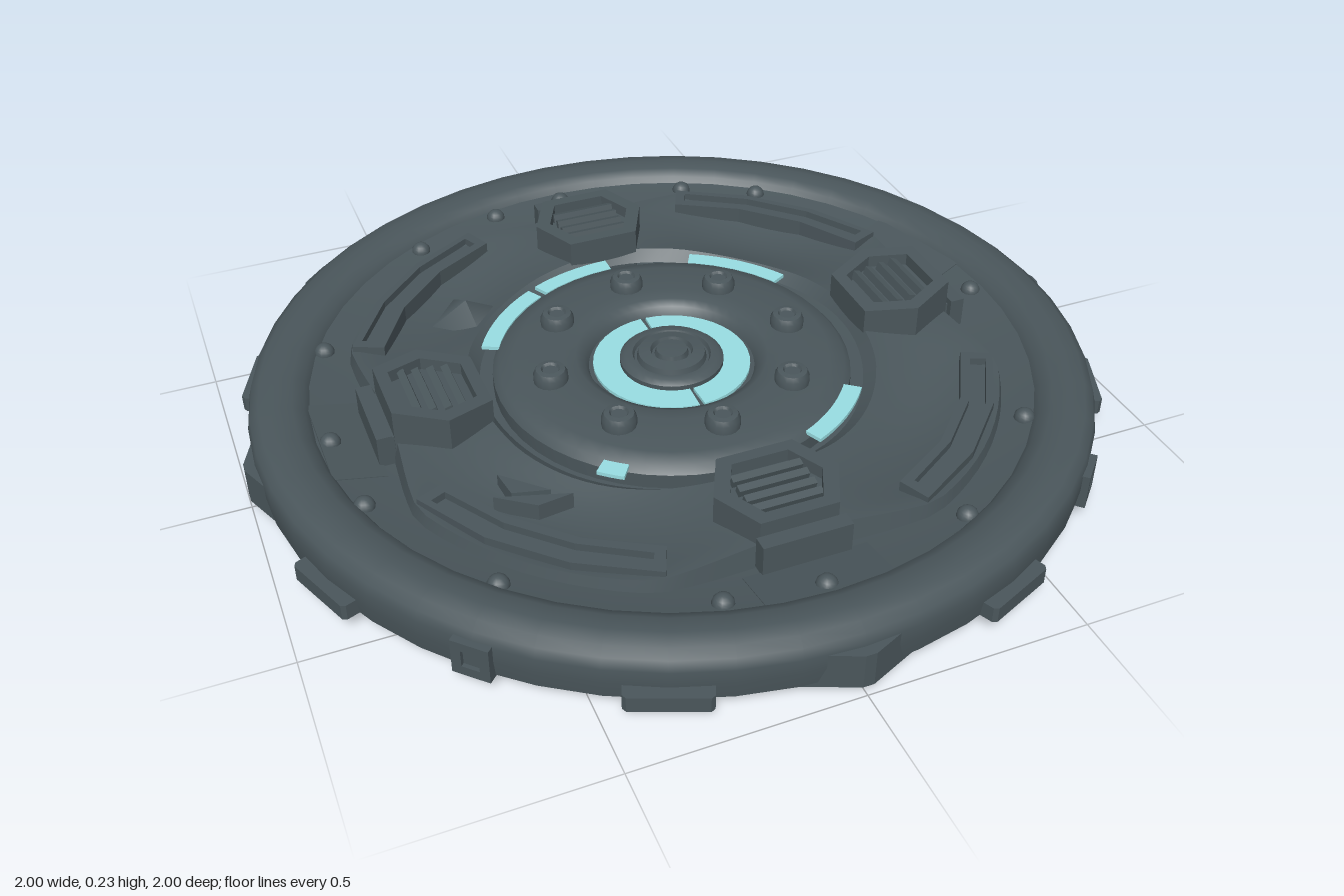
import * as THREE from 'three';
import { toCreasedNormals } from 'three/addons/utils/BufferGeometryUtils.js';

const rad = THREE.MathUtils.degToRad;

export function createModel() {
  const model = new THREE.Group();
  model.name = 'roundHatch';
  const metal = new THREE.MeshStandardMaterial({ color: 0x4a565b });
  metal.name = 'dark steel';
  const glow = new THREE.MeshStandardMaterial({ color: 0x98dde2 });
  glow.name = 'pale cyan light';

  const add = (name, geo, x = 0, y = 0, z = 0, parent = model, mat = metal) => {
    const m = new THREE.Mesh(geo, mat);
    m.name = name;
    m.position.set(x, y, z);
    parent.add(m);
    return m;
  };
  // Group turned about y so that its local +z points outward at angle a
  const spoke = (name, a) => {
    const g = new THREE.Group();
    g.name = name;
    g.rotation.y = a;
    model.add(g);
    return g;
  };
  const lathe = (pts, n = 48) => toCreasedNormals(
    new THREE.LatheGeometry(pts.map(p => new THREE.Vector2(...p)), n), 0.7);
  // Plan outline in (x, z), extruded downward from y = top
  const slab = (pts, top, depth, hole) => {
    const v = list => list.map(p => new THREE.Vector2(...p));
    const s = new THREE.Shape(v(pts));
    if (hole) s.holes.push(new THREE.Path(v(hole)));
    return new THREE.ExtrudeGeometry(s, { depth, bevelEnabled: false })
      .rotateX(Math.PI / 2).translate(0, top, 0);
  };
  // Ring sector outline between two radii and two angles in degrees
  const sector = (r0, r1, a0, a1, n) => {
    const pts = [];
    for (let i = 0; i <= n; i++) {
      const a = rad(a0 + (a1 - a0) * i / n);
      pts.push([r1 * Math.cos(a), r1 * Math.sin(a)]);
    }
    for (let i = n; i >= 0; i--) {
      const a = rad(a0 + (a1 - a0) * i / n);
      pts.push([r0 * Math.cos(a), r0 * Math.sin(a)]);
    }
    return pts;
  };

  // Base dish with rounded rim and sloping recess
  add('baseAndRim', lathe([[0, 0], [0.855, 0], [0.86, 0.018], [0.945, 0.022], [0.972, 0.04],
    [0.977, 0.08], [0.977, 0.115], [0.97, 0.14], [0.95, 0.155], [0.915, 0.161], [0.875, 0.157],
    [0.85, 0.145], [0.84, 0.13], [0.7, 0.1], [0.44, 0.09], [0, 0.09]]));

  // Lobed inner plate: raised under the vents, hollowed on the diagonals
  const plate = new THREE.PlaneGeometry(1, 1, 96, 12);
  const pos = plate.attributes.position;
  for (let i = 0; i < pos.count; i++) {
    const a = (pos.getX(i) + 0.5) * Math.PI * 2;
    const t = pos.getY(i) + 0.5;
    const diag = Math.pow(Math.sin(2 * a), 2);
    const k = Math.min(t / 0.9, 1);
    const r = 0.45 + (0.225 + 0.085 * Math.min(1, diag * 1.8)) * k + (t > 0.95 ? 0.012 : 0);
    const hollow = 0.035 * diag * Math.sin(Math.PI * Math.min(1, k * 1.05));
    const y = t > 0.95 ? 0.095 : 0.15 - 0.012 * diag - hollow - (t < 0.04 ? 0.03 : 0);
    pos.setXYZ(i, r * Math.cos(a), y, r * Math.sin(a));
  }
  plate.computeVertexNormals();
  add('innerPlate', toCreasedNormals(plate, 0.7));

  // Light strips in the gap around the centre disc
  for (const [a0, a1] of [[207, 240], [243, 270], [298, 331], [38, 66], [125, 133]]) {
    add('gapLight', slab(sector(0.41, 0.452, a0, a1, 8), 0.14, 0.009), 0, 0, 0, model, glow);
  }

  // Centre disc with its well and stepped hub
  add('centreDisc', lathe([[0.42, 0.08], [0.42, 0.125], [0.405, 0.142], [0.37, 0.15], [0.26, 0.155],
    [0.225, 0.152], [0.205, 0.142], [0.195, 0.12], [0.1, 0.12]]));
  for (const a of [-88, 92]) {
    add('hubLight', slab(sector(0.11, 0.185, a, a + 176, 20), 0.129, 0.008), 0, 0, 0, model, glow);
  }
  add('hub', lathe([[0.122, 0.11], [0.122, 0.14], [0.11, 0.15], [0.092, 0.15], [0.088, 0.14],
    [0.082, 0.14], [0.078, 0.155], [0.05, 0.16], [0.046, 0.148], [0.04, 0.148], [0.036, 0.162], [0, 0.165]], 32));

  // Ring of large bolts on the disc
  const bolt = lathe([[0.04, 0], [0.04, 0.022], [0.034, 0.034], [0.022, 0.036], [0.018, 0.03], [0, 0.03]], 16);
  for (let i = 0; i < 8; i++) {
    const a = i * Math.PI / 4;
    add('discBolt', bolt, 0.298 * Math.cos(a), 0.15, 0.298 * Math.sin(a));
  }

  // Four hexagonal vents with frame, slats and outer block
  const hex = k => [[0.142, 0], [0.088, 0.112], [-0.088, 0.112], [-0.142, 0], [-0.088, -0.112], [0.088, -0.112]]
    .map(([x, z]) => [x * k, z * k]);
  for (let i = 0; i < 4; i++) {
    const g = spoke('vent', i * Math.PI / 2);
    const tilt = i % 2 ? 0.13 : 0.02;
    const height = i % 2 ? 0.218 : 0.206;
    const slant = geo => {
      const p = geo.attributes.position;
      for (let j = 0; j < p.count; j++) if (p.getY(j) > 0.15) p.setY(j, p.getY(j) + p.getZ(j) * tilt);
      geo.computeVertexNormals();
      return geo;
    };
    add('ventFrame', slant(slab(hex(1), height, 0.11, hex(0.74))), 0, 0, 0.572, g);
    add('ventFloor', slant(slab(hex(0.76), height - 0.03, 0.08)), 0, 0, 0.572, g);
    for (const z of [-0.05, -0.017, 0.017, 0.05]) {
      const slat = add('ventSlat', new THREE.BoxGeometry(0.16, 0.02, 0.017), 0, height - 0.018 + z * tilt, 0.572 + z, g);
      slat.rotation.x = 0.3;
    }
    add('ventBlock', new THREE.BoxGeometry(0.2, 0.075, 0.035), 0, 0.1425, 0.708, g);
    add('ventCollar', new THREE.BoxGeometry(0.17, 0.07, 0.05), 0, 0.13, 0.68, g);
  }

  // Diagonal slotted rails
  for (let i = 0; i < 4; i++) {
    const a = 45 + i * 90;
    add('railFrame', slab(sector(0.675, 0.75, a - 22, a + 22, 3), 0.157, 0.06,
      sector(0.695, 0.732, a - 20, a + 20, 3).reverse()));
    add('railFloor', slab(sector(0.69, 0.735, a - 21, a + 21, 3), 0.139, 0.04));
  }

  // Bent shards and raised wedge on the damaged side
  const wedge = add('raisedWedge', new THREE.ConeGeometry(0.09, 0.05, 4), -0.39, 0.135, -0.38);
  wedge.rotation.y = 0.1;
  add('shard', slab([[-0.54, 0.34], [-0.38, 0.39], [-0.46, 0.4]], 0.15, 0.04));
  add('shard', slab([[-0.51, 0.27], [-0.42, 0.36], [-0.5, 0.34]], 0.148, 0.04));

  // Thin access panels lying on the recess slope
  for (const a of [0, -90, 107]) {
    const p = add('recessPanel', new THREE.BoxGeometry(0.28, 0.006, 0.12), 0, 0.118, 0.775, spoke('panelMount', rad(a)));
    p.rotation.x = -0.21;
  }

  // Small studs in the recess
  const stud = new THREE.SphereGeometry(0.024, 12, 6, 0, Math.PI * 2, 0, Math.PI / 2);
  for (const [x, z] of [[0, -0.81], [-0.19, -0.79], [-0.42, -0.7], [0.33, -0.74], [0.51, -0.64],
    [-0.75, -0.34], [-0.81, 0], [-0.79, 0.24], [-0.6, 0.57], [-0.21, 0.78], [0, 0.81],
    [0.36, 0.74], [0.65, 0.5], [0.81, 0]]) {
    add('recessStud', stud, x, 0.1 + (Math.hypot(x, z) - 0.7) * 0.214, z);
  }

  // Rim fittings: long clamps, square latches and pointed ribs
  for (let i = 0; i < 8; i++) {
    const g = spoke('rimClamp', rad(22.5 + i * 45));
    add('clampBar', slab([[-0.09, 0.93], [0.09, 0.93], [0.088, 0.995], [0.08, 1.003], [-0.08, 1.003], [-0.088, 0.995]],
      0.077, 0.037), 0, 0, 0, g);
  }
  const square = (h, y) => [[-h, y - h], [h, y - h], [h, y + h], [-h, y + h]].map(p => new THREE.Vector2(...p));
  for (let i = 0; i < 4; i++) {
    const g = spoke('rimLatch', rad(45 + i * 90));
    const s = new THREE.Shape(square(0.042, 0.078));
    s.holes.push(new THREE.Path(square(0.02, 0.078)));
    add('latchFrame', new THREE.ExtrudeGeometry(s, { depth: 0.06, bevelEnabled: false }), 0, 0, 0.93, g);
    add('latchCore', new THREE.BoxGeometry(0.042, 0.042, 0.05), 0, 0.078, 0.956, g);
    const r = spoke('rimRib', rad(i * 90));
    add('ribWedge', slab([[-0.13, 0.95], [0.13, 0.95], [0.012, 1], [-0.012, 1]], 0.112, 0.085), 0, 0, 0, r);
  }

  return model;
}
